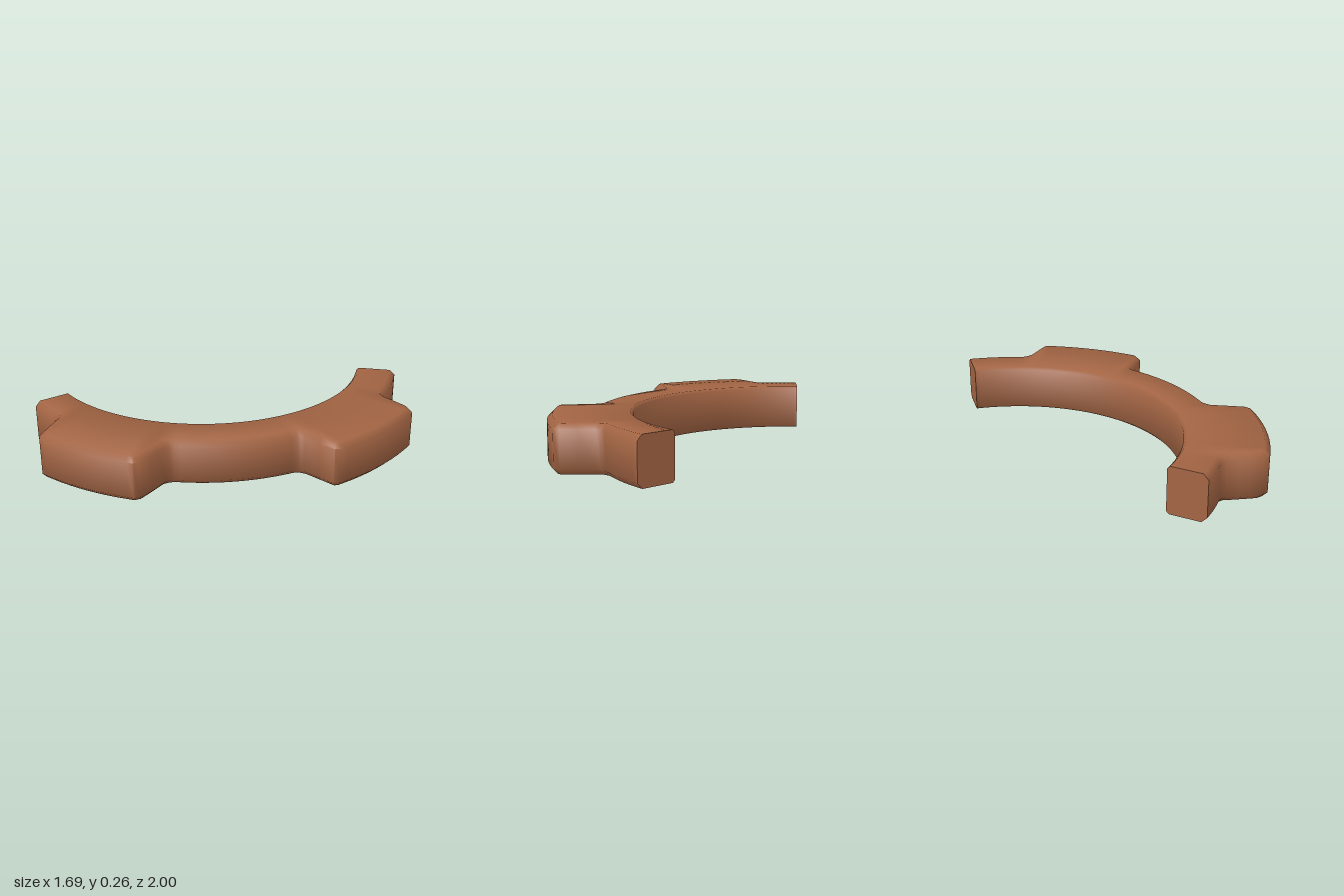
import * as THREE from 'three';
import { toCreasedNormals } from 'three/addons/utils/BufferGeometryUtils.js';

const CX = -0.57, CZ = -0.4;      // centre of the arc
const INNER = 0.955, H = 0.265;   // inner radius and thickness
const BEVEL_OUT = 0.03, BEVEL_IN = 0.015;

// Outer edge as [angle in degrees from +x towards +z, radius]
const profile = [
  [-30.3, 1.19], [-13.9, 1.185], [-13, 1.195], [-12.1, 1.217],   // thin end
  [-9.3, 1.388], [-8.1, 1.414], [17.2, 1.42], [18.7, 1.404],     // first tooth
  [21.7, 1.216], [22.4, 1.198], [23.3, 1.187],
  [56, 1.182], [57, 1.19], [57.9, 1.204],                        // thin middle
  [61.4, 1.378], [63.1, 1.41], [87.1, 1.403], [88.7, 1.37],      // second tooth
  [91.9, 1.2], [92.9, 1.182], [93.9, 1.175], [103.7, 1.176],     // thin end
];

// Subdivide the edge into short steps
function outerEdge() {
  const pts = [];
  profile.forEach(([a, r], i) => {
    const [a2, r2] = profile[i + 1] ?? [a, r];
    const steps = Math.max(1, Math.ceil((a2 - a) / 1.5));
    for (let s = 0; s < steps; s++) {
      const t = THREE.MathUtils.degToRad(a + (a2 - a) * s / steps);
      const rad = r + (r2 - r) * s / steps;
      pts.push(new THREE.Vector2(Math.cos(t) * rad, Math.sin(t) * rad));
    }
  });
  return pts;
}

// Bevelled cross-sections joined along the arc
function segmentGeometry() {
  const edge = outerEdge(), last = edge.length - 1;
  const pos = [], index = [], N = 8;
  edge.forEach((p, i) => {
    const before = p.clone().sub(edge[Math.max(i - 1, 0)]).normalize();
    const after = edge[Math.min(i + 1, last)].clone().sub(p).normalize();
    const tan = before.add(after).normalize();
    const dir = p.clone().normalize();
    const normal = i === 0 || i === last ? dir : new THREE.Vector2(tan.y, -tan.x);
    const inset = p.clone().addScaledVector(normal, -BEVEL_OUT);
    const inner = dir.clone().multiplyScalar(INNER);
    const innerInset = dir.clone().multiplyScalar(INNER + BEVEL_IN);
    const ring = [
      [inner, BEVEL_IN], [innerInset, 0], [inset, 0], [p, BEVEL_OUT],
      [p, H - BEVEL_OUT], [inset, H], [innerInset, H], [inner, H - BEVEL_IN],
    ];
    for (const [q, y] of ring) pos.push(q.x + CX, y, q.y + CZ);
  });
  for (let i = 0; i < last; i++) {
    for (let k = 0; k < N; k++) {
      const a = i * N + k, b = i * N + (k + 1) % N;
      index.push(a, b, b + N, a, b + N, a + N);
    }
  }
  // Flat end caps
  for (let k = 1; k < N - 1; k++) {
    index.push(0, k + 1, k);
    index.push(last * N, last * N + k, last * N + k + 1);
  }
  const geo = new THREE.BufferGeometry();
  geo.setAttribute('position', new THREE.Float32BufferAttribute(pos, 3));
  geo.setIndex(index);
  return toCreasedNormals(geo, THREE.MathUtils.degToRad(55));
}

export function createModel() {
  const group = new THREE.Group();
  group.name = 'toothedRingSegment';
  const clay = new THREE.MeshStandardMaterial({ color: 0xa26443 });
  clay.name = 'clayBrown';
  const segment = new THREE.Mesh(segmentGeometry(), clay);
  segment.name = 'ringSegment';
  group.add(segment);
  return group;
}
